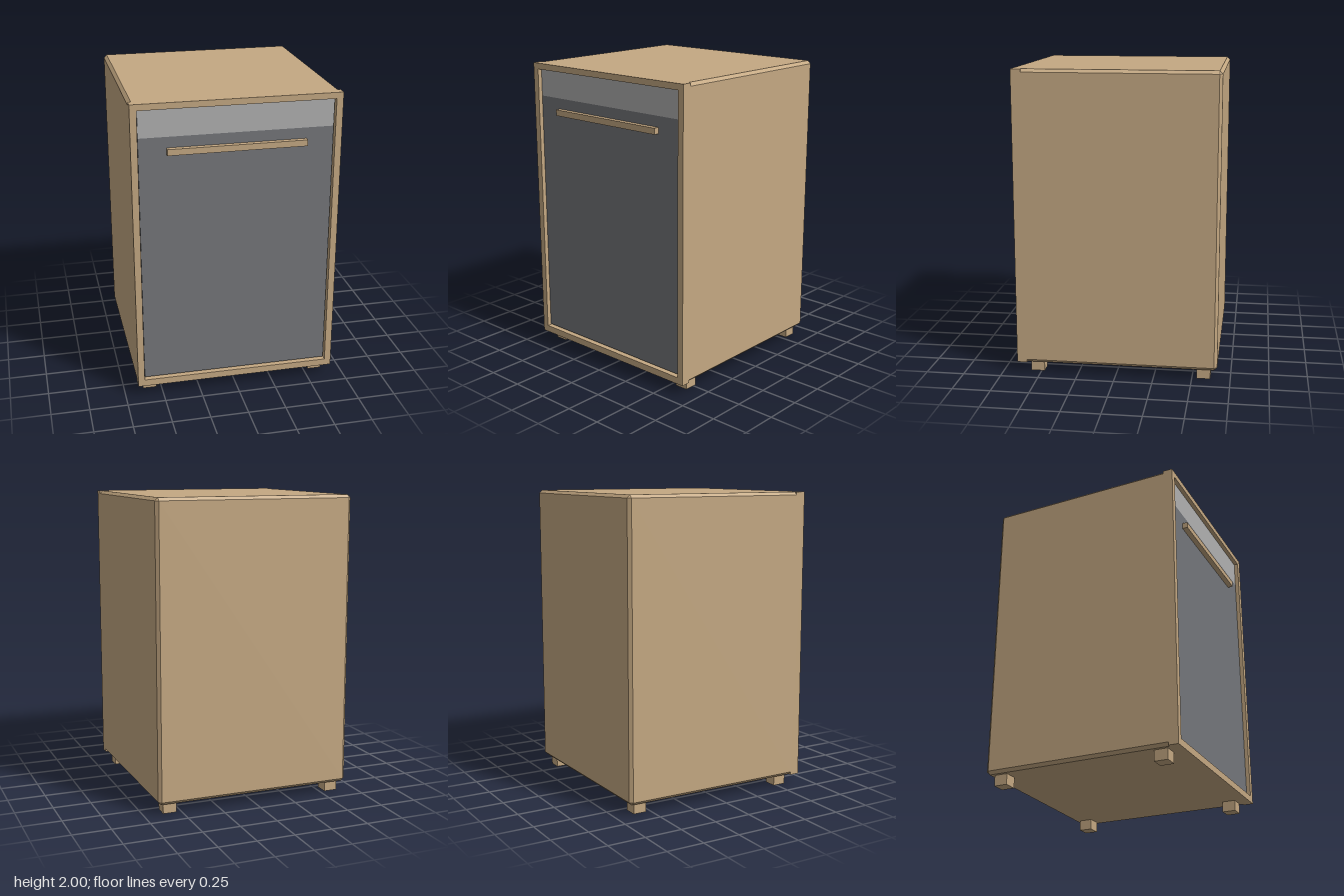
import * as THREE from 'three';

const wood = new THREE.MeshStandardMaterial({ color: 0xc4a882, flatShading: true });
const dark = new THREE.MeshStandardMaterial({ color: 0x74767a });
const silver = new THREE.MeshStandardMaterial({ color: 0xb0b0b0 });

// Box given by its minimum and maximum on each axis
function box(name, material, [x0, x1], [y0, y1], [z0, z1]) {
  const mesh = new THREE.Mesh(new THREE.BoxGeometry(x1 - x0, y1 - y0, z1 - z0), material);
  mesh.position.set((x0 + x1) / 2, (y0 + y1) / 2, (z0 + z1) / 2);
  mesh.name = name;
  return mesh;
}

// Rectangle outline, counter-clockwise seen from the front
function rectangle(Type, w, y0, y1) {
  return new Type([[-w, y0], [w, y0], [w, y1], [-w, y1]].map(p => new THREE.Vector2(...p)));
}

// Cabinet shell: octagonal section tapering to a rectangle, so all rear edges are chamfered
function shellGeometry(w, y0, y1, zFront, zBack, c) {
  const section = (k, z) => {
    // k = 1 cuts the corners, k = 0 insets the whole outline by the chamfer
    const o = c * (1 - k);
    return [
      [-w + c, y0 + o], [w - c, y0 + o], [w - o, y0 + c], [w - o, y1 - c],
      [w - c, y1 - o], [-w + c, y1 - o], [-w + o, y1 - c], [-w + o, y0 + c],
    ].map(([x, y]) => [x, y, z]);
  };
  const rings = [section(1, zFront), section(1, zBack + c), section(0, zBack)];
  const index = [];
  for (let r = 0; r < 2; r++) {
    for (let i = 0; i < 8; i++) {
      const a = r * 8 + i, b = r * 8 + (i + 1) % 8;
      index.push(a, a + 8, b, b, a + 8, b + 8);
    }
  }
  // Front and back caps
  for (let i = 1; i < 7; i++) index.push(0, i, i + 1, 16, 16 + i + 1, 16 + i);
  const geometry = new THREE.BufferGeometry();
  geometry.setAttribute('position', new THREE.Float32BufferAttribute(rings.flat(2), 3));
  geometry.setIndex(index);
  const flat = geometry.toNonIndexed();
  flat.computeVertexNormals();
  return flat;
}

export function createModel() {
  const model = new THREE.Group();
  model.name = 'cabinetAppliance';

  const shell = new THREE.Mesh(shellGeometry(0.665, 0.07, 2, 0.59, -0.665, 0.02), wood);
  shell.name = 'cabinetShell';
  model.add(shell);

  // Square-edged frame around the front opening
  const outline = rectangle(THREE.Shape, 0.665, 0.07, 2);
  outline.holes.push(rectangle(THREE.Path, 0.622, 0.115, 1.96));
  const frame = new THREE.Mesh(
    new THREE.ExtrudeGeometry(outline, { depth: 0.065, bevelEnabled: false }), wood);
  frame.position.z = 0.59;
  frame.name = 'frontFrame';
  model.add(frame);

  // Recessed door, control strip and handle
  model.add(
    box('door', dark, [-0.617, 0.617], [0.123, 1.78], [0.588, 0.63]),
    box('controlStrip', silver, [-0.617, 0.617], [1.78, 1.955], [0.588, 0.63]),
    box('handle', wood, [-0.443, 0.443], [1.67, 1.71], [0.63, 0.665]),
  );

  // Four square feet
  for (const side of [-1, 1]) {
    for (const [end, z] of [['front', 0.525], ['back', -0.575]]) {
      const x = side * 0.578;
      model.add(box(`${end}${side > 0 ? 'Left' : 'Right'}Foot`, wood,
        [x - 0.045, x + 0.045], [0, 0.07], [z - 0.045, z + 0.045]));
    }
  }
  return model;
}
